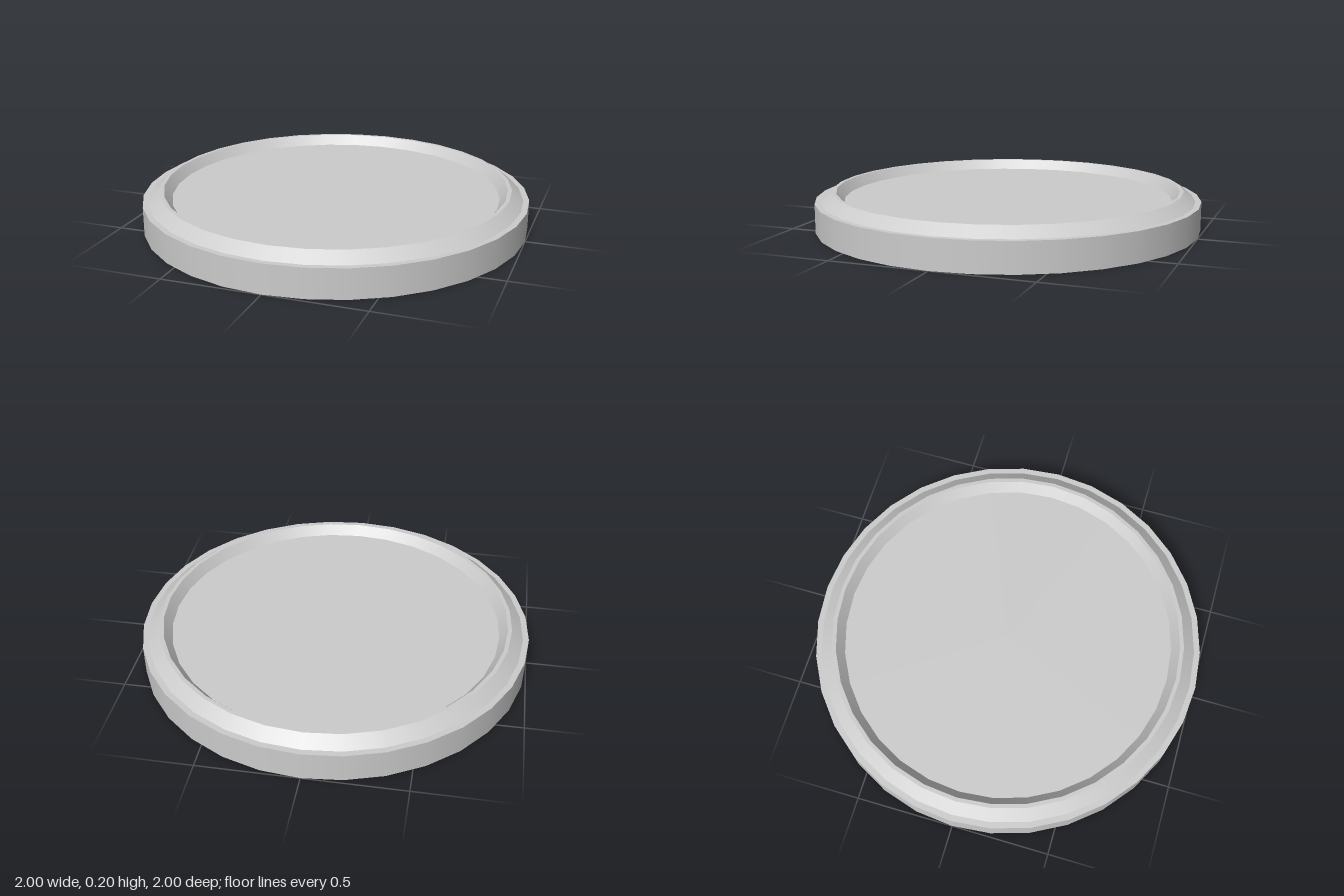
import * as THREE from 'three';

const SIDES = 32;

export function createModel() {
  const group = new THREE.Group();
  group.name = 'shallowDish';
  const material = new THREE.MeshStandardMaterial({ color: 0xcccccc, side: THREE.DoubleSide });

  const add = (name, geometry) => {
    const mesh = new THREE.Mesh(geometry, material);
    mesh.name = name;
    group.add(mesh);
    return mesh;
  };

  // Rings of the thin shell, from the open bottom edge up and over the rim.
  // Each band is its own lathe: smooth around, sharp between bands.
  const profile = [[1, 0], [1, 0.15], [0.97, 0.15], [0.91, 0.2], [0.89, 0.2], [0.85, 0.15]]
    .map(([r, y]) => new THREE.Vector2(r, y));
  ['outerWall', 'ledge', 'rimBevel', 'rimTop', 'innerBevel'].forEach((name, i) =>
    add(name, new THREE.LatheGeometry([profile[i], profile[i + 1]], SIDES)));

  // Recessed floor
  const floor = add('floor', new THREE.CircleGeometry(0.85, SIDES).rotateX(-Math.PI / 2));
  floor.position.y = 0.15;

  return group;
}
